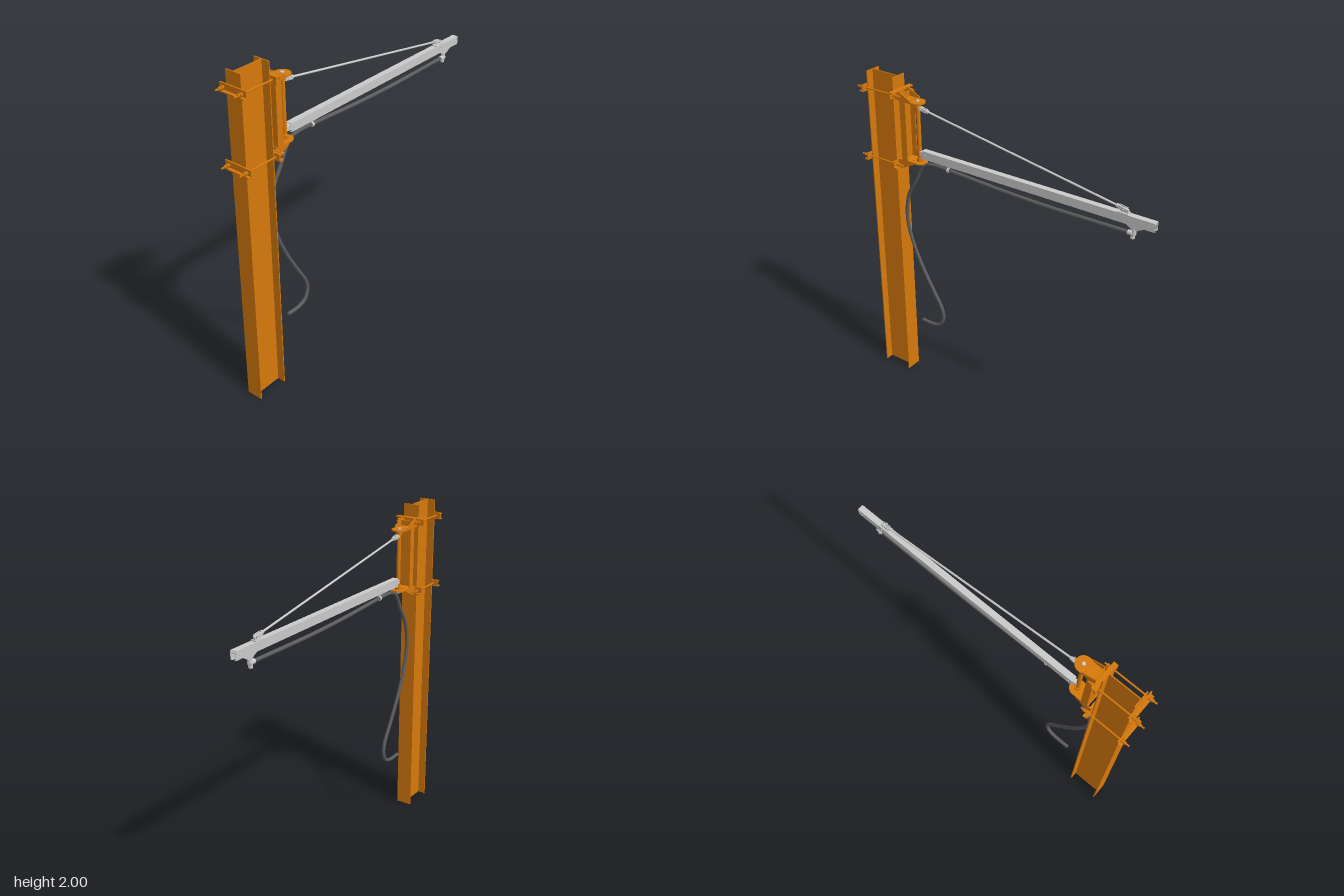
import * as THREE from 'three';

const orange = new THREE.MeshStandardMaterial({ color: 0xd87a0c });
const grey = new THREE.MeshStandardMaterial({ color: 0xcccccc });
const rubber = new THREE.MeshStandardMaterial({ color: 0x5c5c5c });
const V = (x, y, z = 0) => new THREE.Vector3(x, y, z);

function add(parent, name, geometry, material, x = 0, y = 0, z = 0) {
  const mesh = new THREE.Mesh(geometry, material);
  mesh.name = name;
  mesh.position.set(x, y, z);
  parent.add(mesh);
  return mesh;
}

// Box given by its limits on each axis
function box(parent, name, mat, x0, x1, y0, y1, z0, z1) {
  return add(parent, name, new THREE.BoxGeometry(x1 - x0, y1 - y0, z1 - z0), mat,
    (x0 + x1) / 2, (y0 + y1) / 2, (z0 + z1) / 2);
}

// Round bar between two points
function rod(parent, name, mat, a, b, r, sides = 12) {
  const d = b.clone().sub(a);
  const mesh = add(parent, name, new THREE.CylinderGeometry(r, r, d.length(), sides), mat);
  mesh.position.copy(a).add(b).multiplyScalar(0.5);
  mesh.quaternion.setFromUnitVectors(V(0, 1), d.normalize());
  return mesh;
}

// Plate drawn in x and y, centred on depth z
function plate(parent, name, mat, points, depth, z = 0) {
  const shape = new THREE.Shape(points.map(([x, y]) => new THREE.Vector2(x, y)));
  const geo = new THREE.ExtrudeGeometry(shape, { depth, bevelEnabled: false });
  return add(parent, name, geo, mat, 0, 0, z - depth / 2);
}

function group(parent, name) {
  const g = new THREE.Group();
  g.name = name;
  parent.add(g);
  return g;
}

// Upright I-beam
function buildColumn(root) {
  const g = group(root, 'column');
  const t = 0.006;
  plate(g, 'iBeam', orange, [
    [-0.05, 0], [0.05, 0], [0.05, t], [0.003, t], [0.003, 0.195 - t], [0.05, 0.195 - t],
    [0.05, 0.195], [-0.05, 0.195], [-0.05, 0.195 - t], [-0.003, 0.195 - t], [-0.003, t], [-0.05, t],
  ], 2);
  const beam = g.children[0];
  beam.rotation.set(-Math.PI / 2, 0, -Math.PI / 2);
  beam.position.set(-0.9, 0, 0);
}

// Angle irons and threaded rods gripping the column
function buildClamp(root, y, side) {
  const g = group(root, side > 0 ? 'upperClamp' : 'lowerClamp');
  box(g, 'rearAngleWeb', orange, -0.908, -0.9, y - 0.021, y + 0.021, -0.088, 0.088);
  box(g, 'rearAngleFoot', orange, -0.925, -0.9, y - 0.021, y - 0.014, -0.088, 0.088);
  box(g, 'frontAngleWeb', orange, -0.705, -0.697, y - 0.021, y + 0.021, -0.088, 0.088);
  box(g, 'frontAngleFoot', orange, -0.705, -0.677, y + side * 0.017 - 0.004, y + side * 0.017 + 0.004, -0.088, 0.088);
  for (const z of [-0.062, 0.062]) {
    rod(g, 'clampRod', orange, V(-0.96, y, z), V(-0.645, y, z), 0.005, 10);
    for (const x of [-0.915, -0.682]) {
      rod(g, 'washer', orange, V(x - 0.009, y, z), V(x - 0.005, y, z), 0.013);
      rod(g, 'nut', orange, V(x - 0.007, y, z), V(x + 0.007, y, z), 0.010, 6);
    }
    rod(g, 'endNut', orange, V(-0.938, y, z), V(-0.925, y, z), 0.010, 6);
    rod(g, 'endNut', orange, V(-0.672, y, z), V(-0.66, y, z), 0.010, 6);
  }
}

// Hinge arm: rounded tongue with sloping side cheeks
function buildHingeArm(root, y, side) {
  const g = group(root, side > 0 ? 'upperHingeArm' : 'lowerHingeArm');
  const tongue = new THREE.Shape();
  tongue.moveTo(-0.672, -0.045);
  tongue.lineTo(-0.57, -0.045);
  tongue.absarc(-0.57, 0, 0.045, -Math.PI / 2, Math.PI / 2, false);
  tongue.lineTo(-0.672, 0.045);
  const hole = new THREE.Path();
  hole.absarc(-0.57, 0, 0.009, 0, Math.PI * 2, true);
  tongue.holes.push(hole);
  const geo = new THREE.ExtrudeGeometry(tongue, { depth: 0.008, bevelEnabled: false, curveSegments: 20 });
  geo.rotateX(-Math.PI / 2);
  add(g, 'hingeTongue', geo, orange, 0, y - 0.004, 0);
  const cheek = [[-0.697, 0], [-0.59, 0], [-0.59, 0.012], [-0.672, 0.052], [-0.697, 0.052]]
    .map(([px, py]) => [px, y + side * py]);
  if (side < 0) cheek.reverse();
  for (const z of [-0.042, 0.042]) plate(g, 'sideCheek', orange, cheek, 0.006, z);
  for (const z of [-0.02, 0.02]) {
    rod(g, 'tongueBolt', orange, V(-0.6, y - 0.009, z), V(-0.6, y + 0.009, z), 0.006, 6);
  }
}

// Channel and pivot post joining the hinge arms
function buildPivot(root) {
  const g = group(root, 'pivot');
  box(g, 'backPlate', orange, -0.667, -0.66, 1.47, 1.91, -0.045, 0.045);
  for (const z of [-0.042, 0.042]) {
    box(g, 'channelFlange', orange, -0.667, -0.627, 1.505, 1.875, z - 0.003, z + 0.003);
  }
  rod(g, 'pivotPost', orange, V(-0.57, 1.525), V(-0.57, 1.855), 0.012, 20);
  for (const y of [1.512, 1.845]) rod(g, 'pivotCollar', orange, V(-0.57, y), V(-0.57, y + 0.022), 0.018, 20);
  rod(g, 'pivotPin', grey, V(-0.57, 1.865), V(-0.57, 1.885), 0.011, 6);
  rod(g, 'pivotPin', grey, V(-0.57, 1.49), V(-0.57, 1.515), 0.011, 6);
}

// Slotted hollow rail
function buildBoom(root) {
  const g = group(root, 'boom');
  const w = 0.018, t = 0.003, s = 0.006, h = 0.05;
  const shape = new THREE.Shape([
    [-s, 0], [-s, t], [-w + t, t], [-w + t, h - t], [w - t, h - t], [w - t, t], [s, t],
    [s, 0], [w, 0], [w, h], [-w, h], [-w, 0],
  ].map(([x, y]) => new THREE.Vector2(x, y)));
  const rail = add(g, 'rail', new THREE.ExtrudeGeometry(shape, { depth: 1.495, bevelEnabled: false }), grey, -0.54, 1.54, 0);
  rail.rotation.y = Math.PI / 2;
  // Root lug and end-stop bolts
  box(g, 'rootLug', grey, -0.565, -0.5, 1.552, 1.578, -0.012, 0.012);
  for (const [x, y] of [[-0.515, 1.565], [0.78, 1.575], [0.925, 1.565], [0.945, 1.575]]) {
    rod(g, 'railBolt', grey, V(x, y, -0.022), V(x, y, 0.022), 0.005, 6);
  }
}

// Diagonal tie with a fork at each end
function buildTie(root) {
  const g = group(root, 'tie');
  const a = V(-0.54, 1.838), b = V(0.77, 1.612);
  const dir = b.clone().sub(a).normalize();
  rod(g, 'tieRod', grey, a, b, 0.006);
  [[a, 1], [b, -1]].forEach(([p, s]) => {
    const at = (d) => p.clone().addScaledVector(dir, s * d);
    rod(g, 'tieNut', grey, at(0.03), at(0.046), 0.011, 6);
    for (const z of [-0.01, 0.01]) {
      const fork = add(g, 'forkCheek', new THREE.BoxGeometry(0.05, 0.018, 0.004), grey);
      fork.position.copy(at(0.008)).setZ(z);
      fork.rotation.z = Math.atan2(dir.y, dir.x);
    }
    rod(g, 'forkPin', grey, p.clone().setZ(-0.018), p.clone().setZ(0.018), 0.005);
  });
  box(g, 'postLug', grey, -0.565, -0.53, 1.829, 1.848, -0.006, 0.006);
  plate(g, 'railLug', grey, [[0.745, 1.59], [0.795, 1.59], [0.795, 1.612], [0.775, 1.618], [0.76, 1.612]], 0.012);
  box(g, 'railLugBase', grey, 0.735, 0.8, 1.589, 1.595, -0.018, 0.018);
}

// Hose, its end trolley and the small hanger
function buildHose(root) {
  const g = group(root, 'hoseLine');
  const path = new THREE.CatmullRomCurve3([
    [0.815, 1.489], [0.6, 1.486], [0.3, 1.484], [0, 1.492], [-0.3, 1.508], [-0.46, 1.514],
    [-0.52, 1.503], [-0.56, 1.465], [-0.605, 1.38], [-0.672, 1.26], [-0.69, 1.1], [-0.655, 0.95],
    [-0.59, 0.8], [-0.51, 0.655], [-0.445, 0.54], [-0.436, 0.48], [-0.46, 0.423], [-0.51, 0.401], [-0.605, 0.4],
  ].map(([x, y]) => V(x, y)));
  add(g, 'hose', new THREE.TubeGeometry(path, 120, 0.011, 12), rubber);
  // End faces of the hose
  for (const [x, s] of [[0.815, 1], [-0.605, -1]]) {
    const cap = add(g, 'hoseEnd', new THREE.CircleGeometry(0.011, 12), rubber, x, s > 0 ? 1.489 : 0.4, 0);
    cap.rotation.y = s * Math.PI / 2;
  }
  plate(g, 'trolley', grey, [[0.79, 1.541], [0.79, 1.532], [0.822, 1.512], [0.852, 1.512], [0.888, 1.532], [0.888, 1.541]], 0.018);
  rod(g, 'trolleyStem', grey, V(0.834, 1.485), V(0.834, 1.52), 0.012, 16);
  rod(g, 'hoseElbow', grey, V(0.8, 1.489), V(0.84, 1.489), 0.014, 16);
  rod(g, 'hoseOutlet', grey, V(0.828, 1.461), V(0.828, 1.49), 0.012, 16);
  rod(g, 'hangerStem', grey, V(-0.362, 1.51), V(-0.362, 1.545), 0.005);
  rod(g, 'hangerClip', grey, V(-0.369, 1.51), V(-0.355, 1.51), 0.014, 16);
  box(g, 'hangerSlide', grey, -0.377, -0.347, 1.533, 1.54, -0.01, 0.01);
}

export function createModel() {
  const root = new THREE.Group();
  root.name = 'swingBoom';
  buildColumn(root);
  for (const [clampY, armY, side] of [[1.905, 1.874, 1], [1.483, 1.51, -1]]) {
    buildClamp(root, clampY, side);
    buildHingeArm(root, armY, side);
  }
  buildPivot(root);
  buildBoom(root);
  buildTie(root);
  buildHose(root);
  return root;
}
